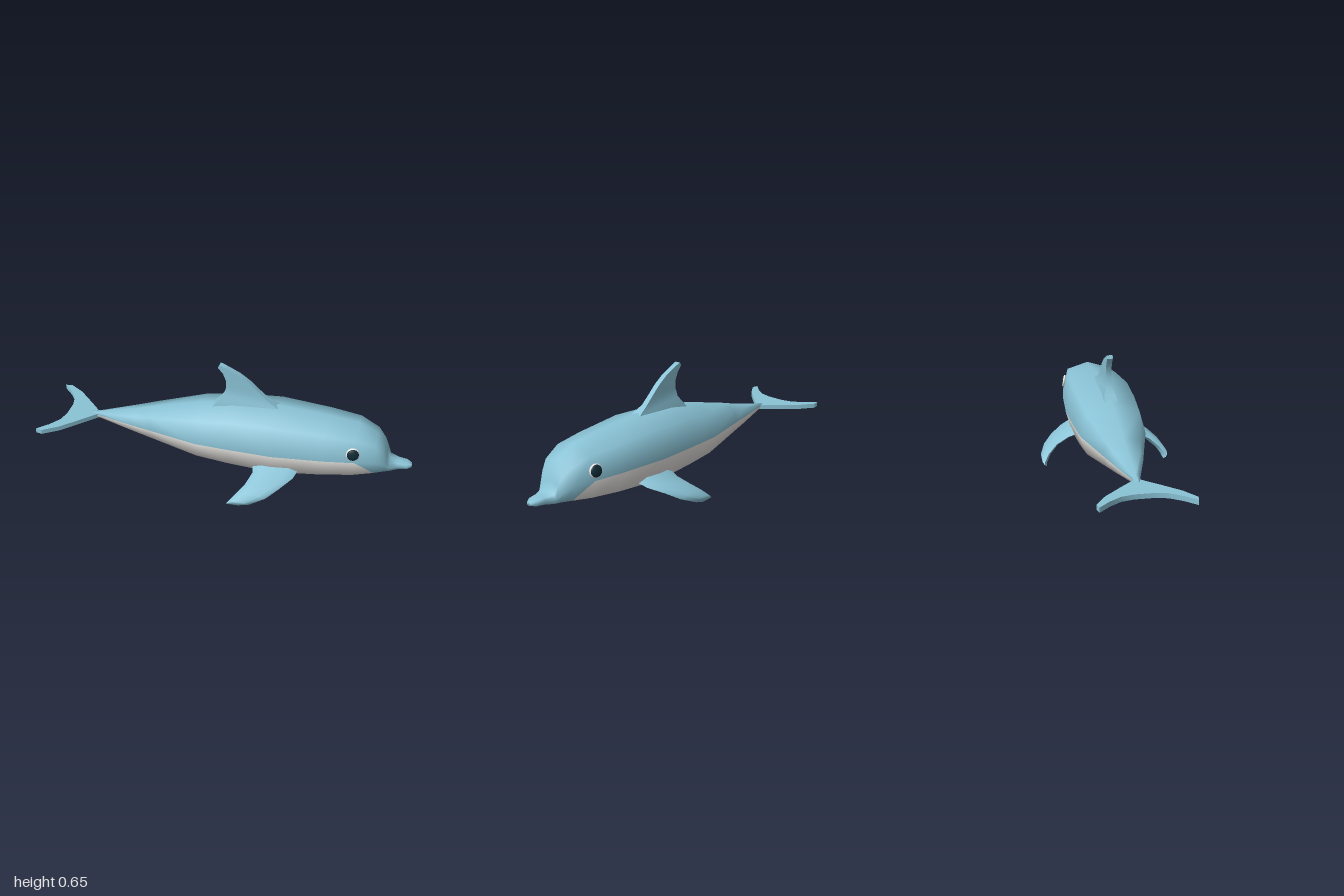
import * as THREE from 'three';
import { toCreasedNormals } from 'three/addons/utils/BufferGeometryUtils.js';

const material = (name, color, side = THREE.FrontSide) => {
  const m = new THREE.MeshStandardMaterial({ color, side });
  m.name = name;
  return m;
};

// Skin a row of equal-sized rings; isSecond(i, j, first) picks the second material.
function loft(rings, isSecond = () => false) {
  const n = rings[0].length, last = (rings.length - 1) * n;
  const lists = [[], []];
  for (let i = 0; i < rings.length - 1; i++) {
    for (let j = 0; j < n; j++) {
      const a = i * n + j, b = i * n + (j + 1) % n, c = a + n, d = b + n;
      const [t1, t2] = j < n / 2 ? [[a, b, d], [a, d, c]] : [[a, b, c], [b, d, c]];
      lists[isSecond(i, j, true) ? 1 : 0].push(...t1);
      lists[isSecond(i, j, false) ? 1 : 0].push(...t2);
    }
  }
  for (let j = 1; j < n - 1; j++) {
    lists[0].push(0, j + 1, j, last, last + j, last + j + 1);
  }
  const g = new THREE.BufferGeometry();
  g.setAttribute('position', new THREE.Float32BufferAttribute(rings.flat(2), 3));
  g.setIndex([...lists[0], ...lists[1]]);
  if (lists[1].length) {
    g.addGroup(0, lists[0].length, 0);
    g.addGroup(lists[0].length, lists[1].length, 1);
  }
  g.computeVertexNormals();
  return g;
}

export function createModel() {
  const model = new THREE.Group();
  const blue = material('skinBlue', 0x8ac3d6);
  const white = material('bellyWhite', 0xe9e7e3);
  const dark = material('eyeDark', 0x0f2c36);

  const add = (name, geometry, mat) => {
    const mesh = new THREE.Mesh(geometry, mat);
    mesh.name = name;
    model.add(mesh);
    return mesh;
  };

  // Body, head and beak: x, top, side height, bottom, half width
  const sections = [
    [-0.75, 0.243, 0.229, 0.214, 0.012],
    [-0.70, 0.252, 0.233, 0.206, 0.022],
    [-0.50, 0.300, 0.238, 0.168, 0.080],
    [-0.40, 0.330, 0.240, 0.148, 0.105],
    [-0.13, 0.402, 0.243, 0.094, 0.173],
    [0.05, 0.432, 0.243, 0.072, 0.184],
    [0.28, 0.443, 0.243, 0.056, 0.193],
    [0.55, 0.420, 0.245, 0.080, 0.172],
    [0.71, 0.402, 0.245, 0.100, 0.148],
    [0.81, 0.352, 0.235, 0.120, 0.115],
    [0.85, 0.300, 0.215, 0.130, 0.090],
    [0.868, 0.255, 0.197, 0.136, 0.076],
    [0.885, 0.206, 0.181, 0.141, 0.064],
    [0.93, 0.199, 0.181, 0.149, 0.040],
    [0.975, 0.194, 0.179, 0.157, 0.034],
    [1.00, 0.186, 0.177, 0.166, 0.014],
  ];
  const bodyRings = sections.map(([x, top, mid, low, w]) => {
    const yu = mid + (top - mid) * 0.76, yl = mid + (low - mid) * 0.66, c = w * 0.81;
    return [[x, top, 0], [x, yu, c], [x, mid, w], [x, yl, c],
      [x, low, 0], [x, yl, -c], [x, mid, -w], [x, yu, -c]];
  });
  // The white belly ends in a diagonal at the throat
  const throat = 8;
  add('body', loft(bodyRings, (i, j, first) =>
    j >= 2 && j <= 5 && (i < throat || (i === throat && (first || j === 3 || j === 4)))), [blue, white]);

  // Dorsal fin: y, back x, front x, half thickness
  const dorsal = [
    [0.395, -0.07, 0.33, 0.036],
    [0.435, -0.035, 0.285, 0.029],
    [0.470, -0.01, 0.225, 0.016],
    [0.520, 0.006, 0.172, 0.015],
    [0.560, 0.004, 0.130, 0.015],
    [0.600, -0.012, 0.075, 0.015],
    [0.632, -0.038, 0.010, 0.015],
    [0.647, -0.030, -0.022, 0.015],
  ].map(([y, b, f, h]) => [[f, y, h], [f, y, -h], [b, y, -h], [b, y, h]]);
  add('dorsalFin', toCreasedNormals(loft(dorsal), 0.7), blue);

  // Tail flukes: one flat plate, mirrored outline
  const half = [[-0.72, 0.012], [-0.80, 0.095], [-0.885, 0.18], [-0.965, 0.233],
    [-1, 0.226], [-0.945, 0.17], [-0.903, 0.11], [-0.888, 0.045]];
  const outline = [...half, ...half.map(([x, z]) => [x, -z]).reverse()];
  const fluke = new THREE.ExtrudeGeometry(
    new THREE.Shape(outline.map(([x, z]) => new THREE.Vector2(x, z))),
    { depth: 0.025, bevelEnabled: false });
  fluke.rotateX(-Math.PI / 2).translate(0, 0.213, 0);
  add('tailFlukes', toCreasedNormals(fluke, 0.7), blue);

  // Flippers: z, y, back x, front x, half thickness
  const flipper = [
    [0.140, 0.148, 0.180, 0.425, 0.024],
    [0.195, 0.126, 0.190, 0.405, 0.020],
    [0.262, 0.096, 0.165, 0.345, 0.017],
    [0.310, 0.060, 0.125, 0.285, 0.017],
    [0.337, 0.026, 0.092, 0.205, 0.017],
    [0.338, 0.012, 0.080, 0.150, 0.015],
  ].map(([z, y, b, f, h]) => {
    const dy = h * 0.75, dz = h * 0.75, e = (f - b) * 0.2;
    return [[f, y, z], [f - e, y + dy, z + dz], [b + e, y + dy, z + dz],
      [b, y, z], [b + e, y - dy, z - dz], [f - e, y - dy, z - dz]];
  });
  const mirrored = flipper.map(r => r.map(([x, y, z]) => [x, y, -z]).reverse());
  add('flipperNearSide', toCreasedNormals(loft(flipper), 0.9), blue);
  add('flipperFarSide', toCreasedNormals(loft(mirrored), 0.9), blue);

  // Eyes: white rim with a dark domed pupil
  for (const s of [1, -1]) {
    const eye = new THREE.Group();
    eye.name = s > 0 ? 'eyeNearSide' : 'eyeFarSide';
    const parts = [['eyeRim', 0.036, 0.36, 0, white], ['pupil', 0.031, 0.36, 0.006, dark]];
    for (const [name, r, flat, out, mat] of parts) {
      const mesh = new THREE.Mesh(new THREE.SphereGeometry(r, 20, 12).scale(1, 1, flat), mat);
      mesh.name = name;
      mesh.position.z = out;
      eye.add(mesh);
    }
    eye.position.set(0.70, 0.294, s * 0.143);
    eye.lookAt(0.70 + 0.2, 0.294 + 0.18, s * (0.143 + 1));
    model.add(eye);
  }
  return model;
}
